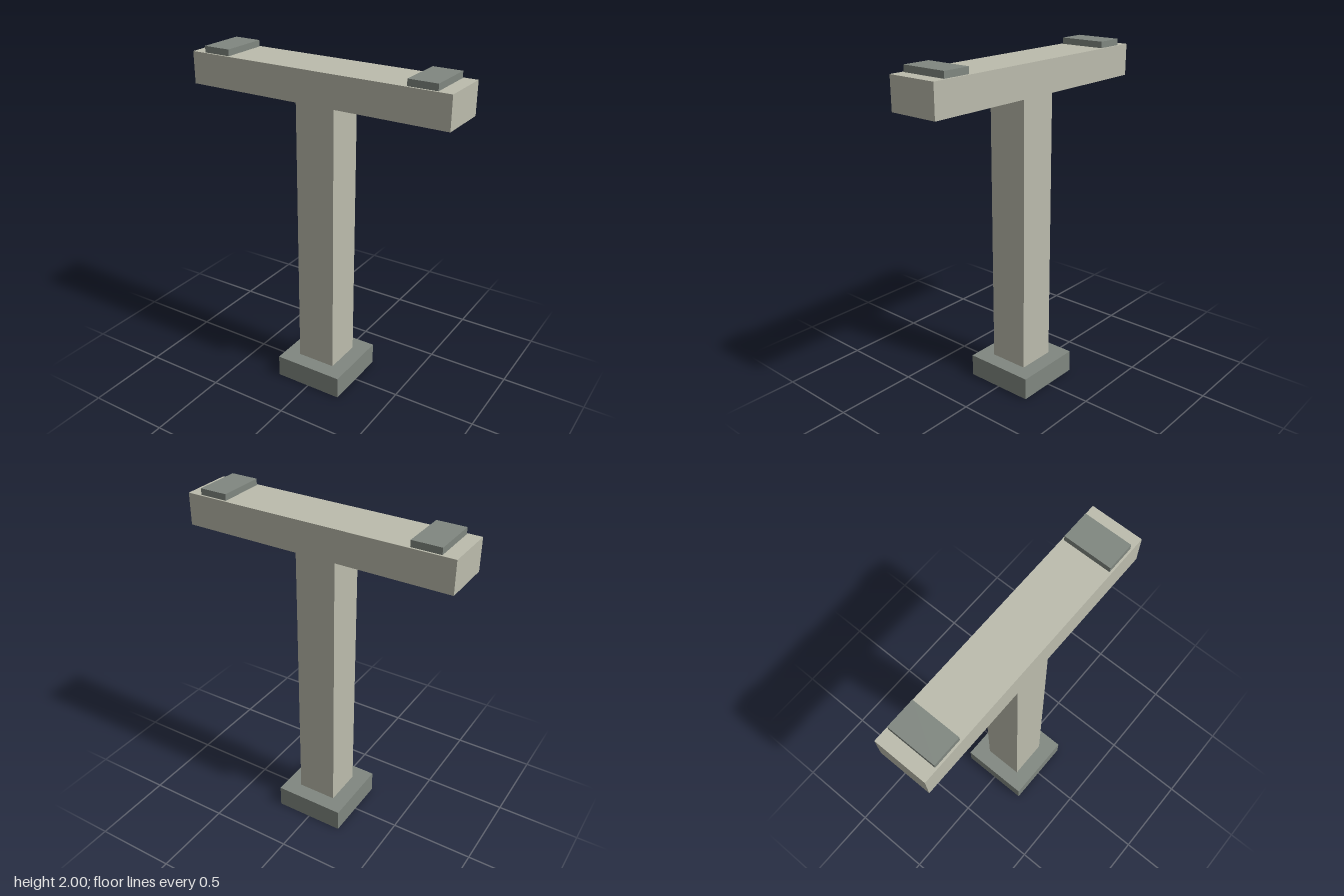
import * as THREE from 'three';

export function createModel() {
  const model = new THREE.Group();
  const concrete = new THREE.MeshStandardMaterial({ color: 0xbcbcad });
  concrete.name = 'pale concrete';
  const dark = new THREE.MeshStandardMaterial({ color: 0x808780 });
  dark.name = 'dark grey';

  // Box spanning the heights y0 to y1
  function block(name, material, width, depth, y0, y1, x = 0) {
    const mesh = new THREE.Mesh(new THREE.BoxGeometry(width, y1 - y0, depth), material);
    mesh.name = name;
    mesh.position.set(x, (y0 + y1) / 2, 0);
    model.add(mesh);
  }

  block('footing', dark, 0.43, 0.43, 0, 0.135);
  block('column', concrete, 0.24, 0.24, 0.135, 1.777);
  block('crossBeam', concrete, 1.595, 0.303, 1.777, 1.963);

  // Bearing pads near both ends of the beam
  for (const side of [-1, 1]) {
    block(side > 0 ? 'leftBearingPad' : 'rightBearingPad', dark, 0.167, 0.28, 1.963, 2, side * 0.634);
  }
  return model;
}
